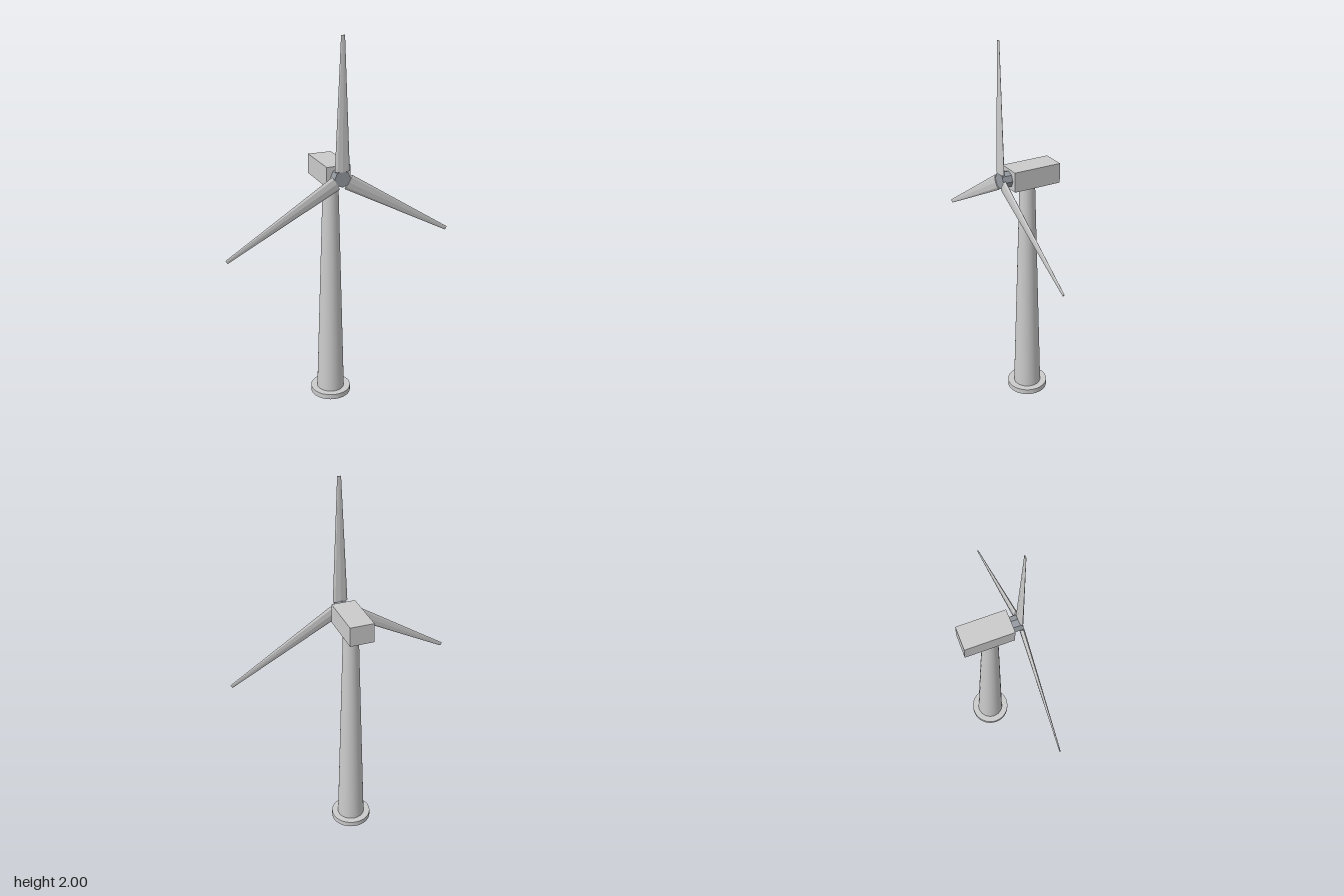
import * as THREE from 'three';

const grey = new THREE.MeshStandardMaterial({ color: 0xcccccc });
const flatGrey = new THREE.MeshStandardMaterial({ color: 0xcccccc, flatShading: true });
const hubGrey = new THREE.MeshStandardMaterial({ color: 0x969ba2, flatShading: true });

const TOWER_Z = -0.006;
const HUB_Y = 1.302;
const ROTOR_Z = 0.148;

function addPart(parent, name, geometry, material, x, y, z) {
  const mesh = new THREE.Mesh(geometry, material);
  mesh.name = name;
  mesh.position.set(x, y, z);
  parent.add(mesh);
  return mesh;
}

// Tapered blade along +y: a flattened cylinder running from the hub to a thin tip
function bladeGeometry() {
  const start = 0.038, end = 0.698;
  const geometry = new THREE.CylinderGeometry(0.01, 0.04, end - start, 8);
  geometry.scale(1, 1, 0.28);
  geometry.translate(0, (start + end) / 2, 0);
  return geometry;
}

export function createModel() {
  const model = new THREE.Group();
  model.name = 'windTurbine';

  // Foundation and tapered tower
  addPart(model, 'foundation', new THREE.CylinderGeometry(0.11, 0.11, 0.03, 32), grey, 0, 0.015, TOWER_Z);
  addPart(model, 'tower', new THREE.CylinderGeometry(0.04, 0.075, 1.225, 32), grey, 0, 0.6425, TOWER_Z);

  // Generator housing
  addPart(model, 'nacelle', new THREE.BoxGeometry(0.128, 0.105, 0.262), flatGrey, 0, 1.303, -0.03);

  // Rotor: hub and three blades
  const rotor = new THREE.Group();
  rotor.name = 'rotor';
  rotor.position.set(0, HUB_Y, ROTOR_Z);
  model.add(rotor);

  const hubGeometry = new THREE.CylinderGeometry(0.043, 0.043, 0.06, 8);
  hubGeometry.rotateX(Math.PI / 2);
  addPart(rotor, 'hub', hubGeometry, hubGrey, 0, 0, -0.024);

  const blade = bladeGeometry();
  for (let i = 0; i < 3; i++) {
    addPart(rotor, `blade${i + 1}`, blade, flatGrey, 0, 0, 0).rotation.z = (i * Math.PI * 2) / 3;
  }
  return model;
}
